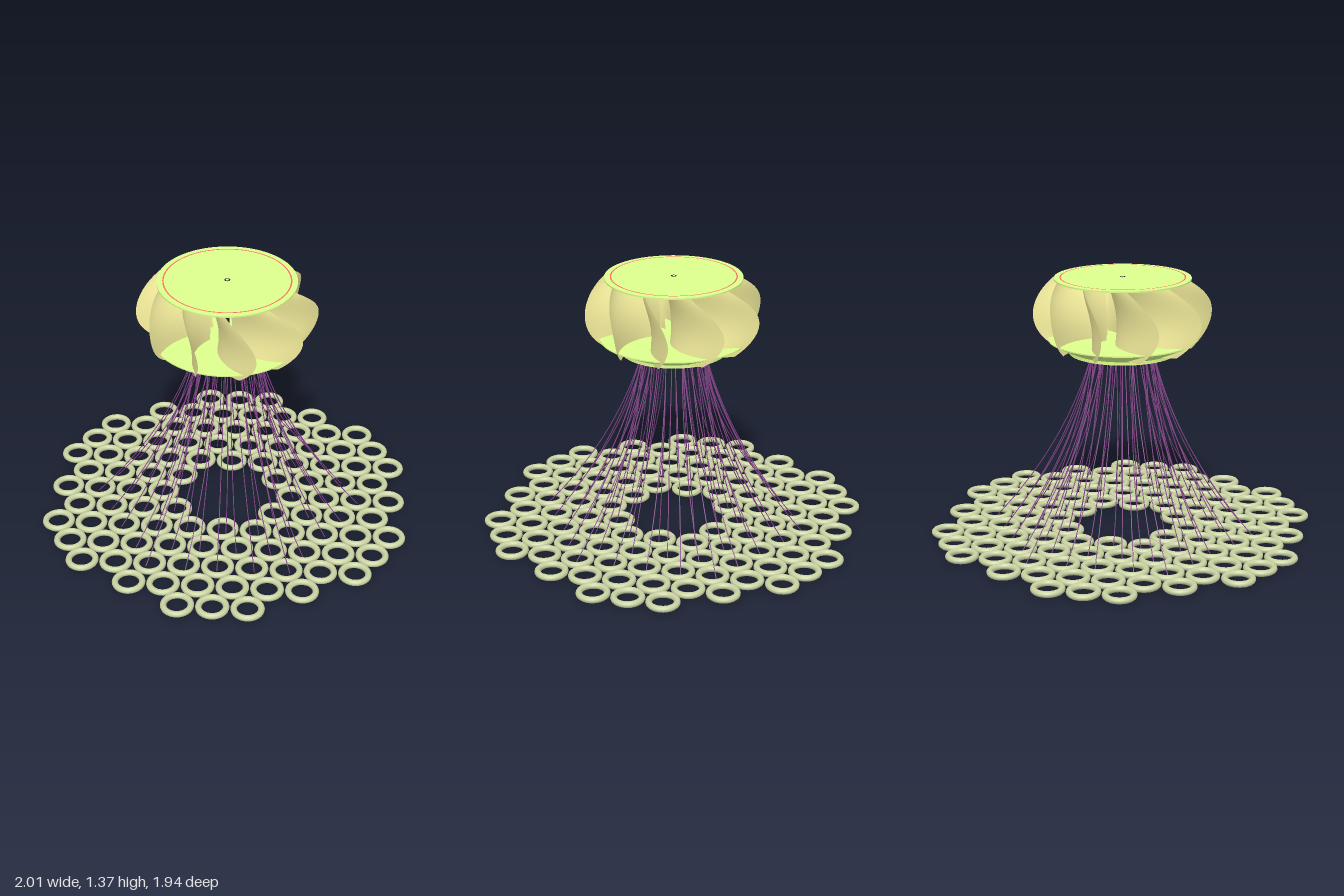
import * as THREE from 'three';

const mat = (color, side = THREE.FrontSide) => new THREE.MeshStandardMaterial({ color, side });
const green = mat(0xddff8e);
const cream = mat(0xfff8a4, THREE.DoubleSide);
const olive = mat(0xc9d2a2);
const black = mat(0x1c1c1c);
const red = mat(0xff6a64);
const purple = mat(0x8a4690);

function add(parent, name, geometry, material, y = 0) {
  const mesh = new THREE.Mesh(geometry, material);
  mesh.name = name;
  mesh.position.y = y;
  parent.add(mesh);
  return mesh;
}

// Round slab between two heights
function slab(parent, name, rTop, rBottom, y0, y1, material, sides = 72) {
  return add(parent, name, new THREE.CylinderGeometry(rTop, rBottom, y1 - y0, sides), material, (y0 + y1) / 2);
}

// Flat ring lying in the xz plane
function flatRing(parent, name, inner, outer, y, material, down = false) {
  const g = new THREE.RingGeometry(inner, outer, 72).rotateX(down ? Math.PI / 2 : -Math.PI / 2);
  return add(parent, name, g, material, y);
}

// Twisted blade: a swept spiral in plan, its outer edge bulging and leaning forward at mid height
function bladeGeometry() {
  const g = new THREE.PlaneGeometry(1, 2, 20, 24);
  const p = g.attributes.position;
  for (let i = 0; i < p.count; i++) {
    const u = p.getX(i) + 0.5;
    const s = p.getY(i);
    const bulge = 1 - s * s;
    const r = THREE.MathUtils.lerp(0.355 + 0.107 * bulge, 0.1, u);
    const angle = THREE.MathUtils.degToRad(2.5 - 5.5 * s + 13.5 * bulge - 40 * u);
    p.setXYZ(i, r * Math.sin(angle), 1.185 + 0.183 * s, r * Math.cos(angle));
  }
  g.computeVertexNormals();
  return g;
}

// Slack cable hanging from the mounting ring to a float
function cableGeometry(x, z, sway) {
  const r = Math.hypot(x, z);
  const at = (radius, y, side = 0) => new THREE.Vector3(
    (x * radius + z * side) / r, y, (z * radius - x * side) / r);
  const curve = new THREE.QuadraticBezierCurve3(
    at(0.16, 0.975), at(0.16 + 0.25 * (r - 0.16), 0.465, sway), at(r + 0.01, 0.003, sway * 0.6));
  return new THREE.TubeGeometry(curve, 24, 0.0025, 5);
}

export function createModel() {
  const model = new THREE.Group();

  // Turbine rotor
  const rotor = new THREE.Group();
  rotor.name = 'rotor';
  model.add(rotor);
  slab(rotor, 'topDisc', 0.353, 0.353, 1.364, 1.372, green);
  flatRing(rotor, 'topTrimRing', 0.317, 0.324, 1.3735, red);
  flatRing(rotor, 'shaftHole', 0.008, 0.015, 1.3735, black);
  slab(rotor, 'bottomRim', 0.385, 0.385, 1.046, 1.052, green);
  slab(rotor, 'bottomCone', 0.385, 0.28, 0.995, 1.046, green);
  slab(rotor, 'shaft', 0.012, 0.012, 0.95, 1.365, black, 16);
  const blade = bladeGeometry();
  for (let i = 0; i < 10; i++) {
    add(rotor, 'blade', blade, cream).rotation.y = i * Math.PI / 5;
  }

  // Base plate and generator under the rotor
  const base = new THREE.Group();
  base.name = 'base';
  model.add(base);
  slab(base, 'basePlate', 0.28, 0.28, 0.978, 0.996, green);
  slab(base, 'baseTrim', 0.25, 0.25, 0.974, 0.978, red);
  flatRing(base, 'basePlateUnderside', 0.17, 0.243, 0.973, green, true);
  flatRing(base, 'cableMount', 0.145, 0.175, 0.972, black, true);
  flatRing(base, 'generatorMount', 0.06, 0.145, 0.973, green, true);
  slab(base, 'generatorHousing', 0.07, 0.06, 0.94, 0.976, black, 24);
  slab(base, 'generatorCore', 0.04, 0.035, 0.912, 0.945, green, 12);
  for (let i = 0; i < 6; i++) {
    const a = i * Math.PI / 3;
    const post = slab(base, 'generatorPost', 0.009, 0.009, 0.925, 0.96, green, 8);
    post.position.x = 0.06 * Math.sin(a);
    post.position.z = 0.06 * Math.cos(a);
  }

  // Hexagonal field of float rings, the inner ones tied by cables
  const field = new THREE.Group();
  field.name = 'floatField';
  model.add(field);
  const cables = new THREE.Group();
  cables.name = 'cables';
  model.add(cables);
  const float = new THREE.TorusGeometry(0.0695, 0.0165, 12, 28).rotateX(Math.PI / 2);
  const pitch = 0.1764;
  for (let col = -6; col <= 6; col++) {
    for (let row = -6; row <= 6; row++) {
      const x = col * pitch * Math.sqrt(3) / 2;
      const z = (row + (col % 2 ? 0.5 : 0)) * pitch;
      const r = Math.hypot(x, z);
      if (r < 0.25 || r > 0.95) continue;
      add(field, 'floatRing', float, olive).position.set(x, 0.026, z);
      const sway = 0.03 * Math.sin(col * 5.3 + row * 2.7);
      if (r < 0.72) add(cables, 'cable', cableGeometry(x, z, sway), purple);
    }
  }
  return model;
}
